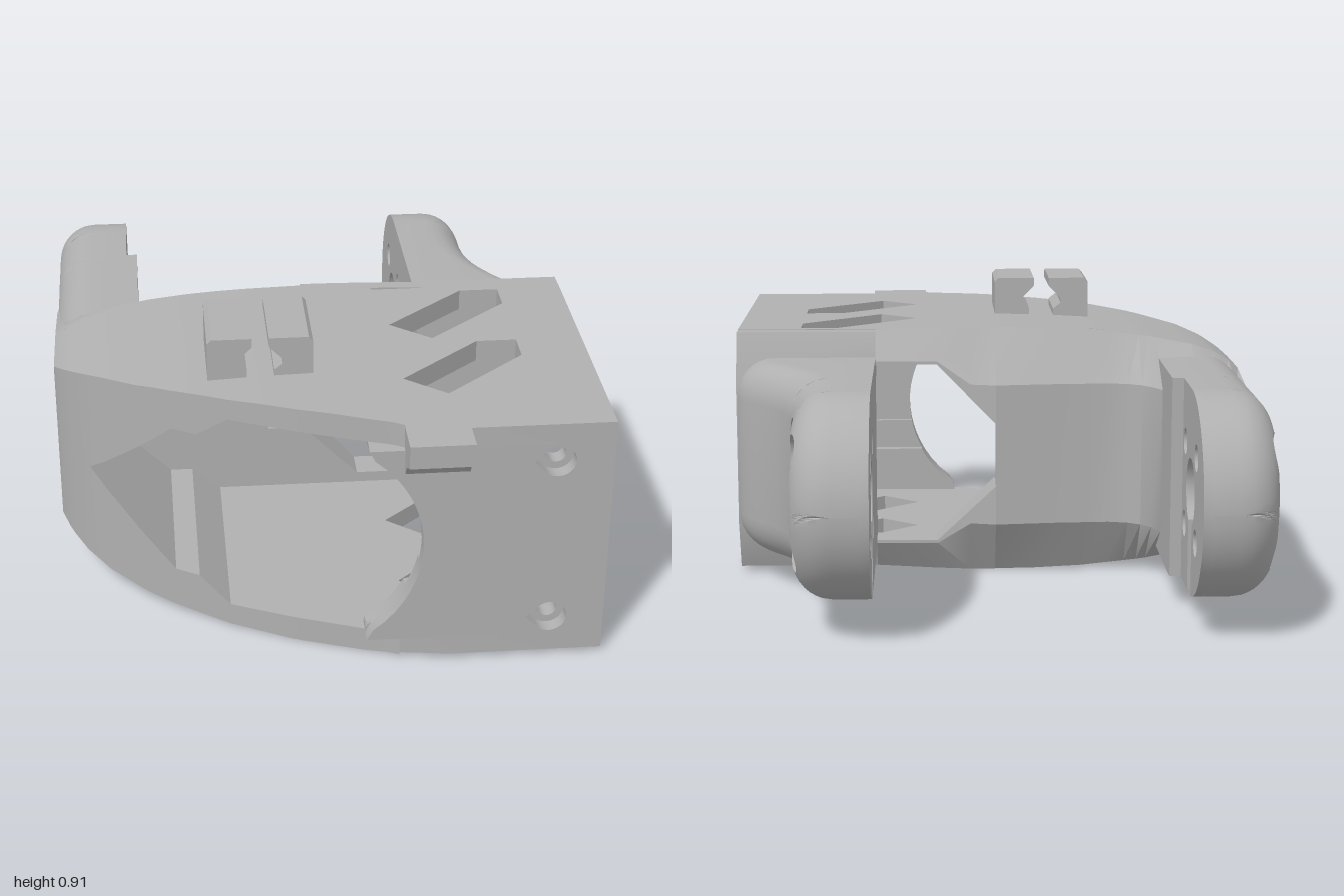
import * as THREE from 'three';
import { toCreasedNormals } from 'three/addons/utils/BufferGeometryUtils.js';

const V2 = (p) => new THREE.Vector2(p[0], p[1]);
const shapeOf = (pts, holes = []) => {
  const s = new THREE.Shape(pts.map(V2));
  holes.forEach((h) => s.holes.push(new THREE.Path(h.map(V2))));
  return s;
};
const extrude = (pts, depth, holes) =>
  new THREE.ExtrudeGeometry(shapeOf(pts, holes), { depth, bevelEnabled: false });

// Arc as a list of points
const arc = (cx, cy, r, a0, a1, n) => Array.from({ length: n + 1 }, (_, i) => {
  const a = a0 + (a1 - a0) * i / n;
  return [cx + r * Math.cos(a), cy + r * Math.sin(a)];
});

// Piecewise linear curve through [t, value] pairs
const curve = (pts) => (t) => {
  if (t <= pts[0][0]) return pts[0][1];
  for (let i = 1; i < pts.length; i++) {
    const [a, va] = pts[i - 1], [b, vb] = pts[i];
    if (t <= b) return va + (vb - va) * (t - a) / (b - a);
  }
  return pts[pts.length - 1][1];
};
const steps = (a, b, n) => Array.from({ length: n + 1 }, (_, i) => a + (b - a) * i / n);

// Skin over closed rings, with optional end caps triangulated from 2D sections
function skin(rings, caps) {
  const n = rings[0].length, idx = [];
  for (let i = 0; i + 1 < rings.length; i++) for (let j = 0; j < n; j++) {
    const k = (j + 1) % n, a = i * n + j, b = i * n + k, c = a + n, d = b + n;
    idx.push(a, b, d, a, d, c);
  }
  if (caps) caps.forEach((sec, e) => {
    const c = sec.map(V2), off = e ? (rings.length - 1) * n : 0;
    const ccw = THREE.ShapeUtils.area(c) > 0;
    // the triangulator follows the winding of the section itself
    THREE.ShapeUtils.triangulateShape(ccw ? c : c.slice().reverse(), []).forEach((t) => {
      let [p, q, r] = ccw ? t : t.map((v) => n - 1 - v).reverse();
      if (e === 0) [q, r] = [r, q];
      idx.push(off + p, off + q, off + r);
    });
  });
  const g = new THREE.BufferGeometry();
  g.setAttribute('position', new THREE.Float32BufferAttribute(rings.flat(2), 3));
  g.setIndex(idx);
  return g;
}
const loft = (ts, section, place) => {
  const secs = ts.map(section);
  return skin(secs.map((s, i) => s.map(([a, b]) => place(a, b, ts[i]))), [secs[0], secs[secs.length - 1]]);
};

// Make faces point outward, then smooth gentle edges only
function finish(geo) {
  const g = geo.index ? geo.toNonIndexed() : geo.clone();
  g.deleteAttribute('uv');
  g.deleteAttribute('normal');
  const p = g.attributes.position, v = [0, 1, 2].map(() => new THREE.Vector3());
  let volume = 0;
  for (let i = 0; i < p.count; i += 3) {
    v.forEach((q, k) => q.fromBufferAttribute(p, i + k));
    volume += v[0].dot(v[1].clone().cross(v[2]));
  }
  if (volume < 0) for (let i = 0; i < p.count; i += 3) {
    v.forEach((q, k) => q.fromBufferAttribute(p, i + k));
    p.setXYZ(i + 1, v[2].x, v[2].y, v[2].z);
    p.setXYZ(i + 2, v[1].x, v[1].y, v[1].z);
  }
  g.computeVertexNormals();
  return toCreasedNormals(g, 0.5);
}

export function createModel() {
  const root = new THREE.Group();
  root.name = 'bracket';
  const grey = new THREE.MeshStandardMaterial({ color: 0xb0b0b0, side: THREE.DoubleSide });
  grey.name = 'grey plastic';
  const add = (name, geo, parent = root) => {
    const m = new THREE.Mesh(finish(geo), grey);
    m.name = name;
    parent.add(m);
  };
  const CY = 0.405;
  const alongX = (y, z, x) => [x, y, z];

  // Body outline curves
  const top = curve([[-.8, .665], [-.77, .69], [-.72, .718], [-.65, .742], [-.5, .77], [-.35, .787], [-.2, .795], [0, .8], [.2, .797], [.4, .79], [.8, .788]]);
  const bottom = curve([[-.8, .14], [-.77, .115], [-.72, .09], [-.65, .065], [-.5, .036], [-.3, .015], [-.1, .005], [.1, .008], [.4, .025], [.8, .025]]);
  const front = curve([[-.8, .2], [-.77, .27], [-.72, .35], [-.65, .43], [-.55, .52], [-.45, .59], [-.3, .68], [-.1, .77], [.1, .845], [.17, .868], [.2, .885]]);
  const back = curve([[-.8, -.25], [-.535, -.25], [-.51, -.2], [-.48, -.16], [-.44, -.135], [-.38, -.12], [-.2, -.13], [-.02, -.15], [.18, -.1], [.36, -.1]]);
  const cavity = curve([[-.7, 0], [-.45, .245], [-.38, .245], [-.29, .32], [.2, .32]]);

  // Curved shell above and below the pointed cavity
  const shellX = [...steps(-.8, -.7, 8), ...steps(-.65, -.45, 6), -.42, -.38, -.335, ...steps(-.29, .2, 14)];
  add('upperShell', loft(shellX, (x) => [[CY + cavity(x), 0], [top(x), 0], [top(x), front(x)], [CY + cavity(x), front(x)]], alongX));
  add('lowerShell', loft(shellX, (x) => [[CY - cavity(x), 0], [bottom(x), 0], [bottom(x), front(x)], [CY - cavity(x), front(x)]], alongX));

  // Rear wall with the arrow-shaped recess
  const recess = curve([[-.21, 0], [-.13, .105], [-.02, .105]]);
  add('rearWall', loft([-.8, -.77, -.72, -.65, -.535, -.51, -.48, -.44, -.38, -.3, -.21, -.13, -.02], (x) => {
    const h = recess(x);
    return [[CY + h, 0], [top(x), 0], [top(x), -.03], [.63, back(x)], [.18, back(x)], [bottom(x), -.03],
      [bottom(x), 0], [CY - h, 0], [CY - h, -.08], [CY + h, -.08]];
  }, alongX));
  // Rear window borders
  const win = curve([[-.02, .1], [.165, .285], [.36, .285]]);
  [1, -1].forEach((s) => add('rearWindowBorder', loft([-.02, .06, .165, .25, .36], (x) => {
    const edge = s > 0 ? top(x) : bottom(x), h = win(x);
    return [[CY + s * h, 0], [edge, 0], [edge, -.04], [CY + s * Math.max(.225, h + .01), back(x)], [CY + s * h, back(x)]];
  }, alongX)));
  // Grooved rear wall beside the open end
  add('groovedRearWall', loft([.36, .8], () => [[.788, 0], [.788, -.05], [.63, -.11], [.18, -.11], [.025, -.05], [.025, 0],
    [.18, 0], [.18, -.05], [.3, -.05], [.3, -.09], [.51, -.09], [.51, -.05], [.64, -.05], [.64, 0]], alongX));

  // Slotted top and bottom plates
  const slots = [0, .35].map((d) => [[.23, .25 + d], [.48, .03 + d], [.6, .03 + d], [.6, .13 + d], [.35, .35 + d]]);
  [['topPlate', .725, .79], ['bottomPlate', .022, .085]].forEach(([name, y0, y1]) => {
    const g = extrude([[.2, 0], [.8, 0], [.8, .905], [.35, .905], [.2, .885]], y1 - y0, slots);
    add(name, g.rotateX(Math.PI / 2).translate(0, y1, 0));
  });

  // Front wall in layers: curved inner edge, stepped rail groove, teardrop screw holes
  const edgeX = curve(arc(-.03, 0, .36, 0, 1.3, 24).map(([x, y]) => [y, Math.max(x - .07, .1)]));
  const wallEdge = (a, b) => steps(a, b, 20).map((h) => [edgeX(Math.abs(h)), CY + h]);
  const tear = (y, r) => [...arc(.64, y, r, -2.35, 2.35, 18), [.64 - r * 1.42, y]];
  add('frontWallFace', extrude([...wallEdge(-.32, .32), [.8, .725], [.8, .085]], .045, [tear(.14, .05), tear(.67, .05)]).translate(0, 0, .86));
  [[.84, .02, .07], [.81, .03, .17]].forEach(([z, d, gap]) => [1, -1].forEach((s) => {
    add('frontWallRail', extrude([...wallEdge(s * gap, s * .32), [.8, CY + s * .32], [.8, CY + s * gap]], d,
      [tear(CY + s * .265, .028)]).translate(0, 0, z));
  }));

  // Front catch
  add('frontCatch', loft([.2, .385], () => [[.79, .86], [.79, 1], [.72, 1], [.705, .965], [.685, .935], [.655, .915], [.655, .86]], alongX));

  // Pair of cable clips on the roof
  [1, -1].forEach((s) => {
    const prof = [[.155, .78], [.155, .905], [.143, .918], [.025, .918], [.025, .89], [.065, .85], [.065, .835], [.04, .815], [.04, .78]];
    add('cableClip', extrude(prof.map(([x, y]) => [-.185 + s * x, y]), .27).translate(0, 0, .29));
  });

  // Rear arms: rounded end with four counterbored holes, rounded base, keyhole face plate
  const R = .305, CZ = -.695, ROUND = .12, ZS = -.47;
  function arm(name, side, inner, outer, zEnd) {
    const g = new THREE.Group();
    g.name = name;
    root.add(g);
    const seat = inner + .03, floor = outer(-1) - .1;
    const height = (y, z) => {
      const d = R - (z < CZ ? Math.hypot(y - CY, z - CZ) : Math.abs(y - CY));
      const e = Math.min(ROUND, Math.max(0, ROUND - d));
      return outer(z) - ROUND + Math.sqrt(ROUND * ROUND - e * e);
    };
    const holes = [];
    [-.56, -.815].forEach((hz) => [.28, .53].forEach((hy) => {
      holes.push(arc(hz, hy, .04, 0, Math.PI * 2, 24).slice(0, -1));
      const yr = hy < CY ? [CY - R, CY] : [CY, CY + R], zr = hz < CZ ? [CZ - R, CZ] : [CZ, ZS];
      const angles = steps(-Math.PI, Math.PI, 48).slice(0, -1);
      yr.forEach((y) => zr.forEach((z) => angles.push(Math.atan2(y - hy, z - hz))));
      angles.sort((a, b) => a - b);
      // distance from hole centre to the edge of its quarter of the arm end
      const reach = (a) => {
        const dz = Math.cos(a), dy = Math.sin(a);
        let t = Math.min(dz ? (zr[dz > 0 ? 1 : 0] - hz) / dz : 9, dy ? (yr[dy > 0 ? 1 : 0] - hy) / dy : 9);
        if (hz < CZ) {
          const b = dz * (hz - CZ) + dy * (hy - CY), c = (hz - CZ) ** 2 + (hy - CY) ** 2 - R * R;
          t = Math.min(t, -b + Math.sqrt(b * b - c));
        }
        return t;
      };
      const ring = (radius, w) => angles.map((a) => {
        const t = radius(a), z = hz + t * Math.cos(a), y = hy + t * Math.sin(a);
        return [side * (w ?? height(y, z)), y, z];
      });
      const small = () => .04, big = () => Math.min(.075);
      const surface = [0, .2, .4, .6, .75, .87, .95, 1].map((s) => ring((a) => .075 + s * (reach(a) - .075)));
      add('armEnd', skin([ring(small, seat), ring(small, floor), ring(big, floor), ...surface, ring(reach, seat), ring(small, seat)]), g);
    }));
    // Base blending into the body
    add('armBase', loft(steps(ZS, zEnd, 14), (z) => {
      const c = outer(z) - ROUND;
      return [[inner, CY - R], ...arc(c, CY - R + ROUND, ROUND, -Math.PI / 2, 0, 8),
        ...arc(c, CY + R - ROUND, ROUND, 0, Math.PI / 2, 8), [inner, CY + R]];
    }, (x, y, z) => [side * x, y, z]), g);
    // Inner face plate with a keyhole slot
    const face = extrude([[ZS, CY - R], [CZ + .04, CY - R], ...arc(CZ, CY, .1, -1.16, Math.PI + 1.16, 28),
      [CZ - .04, CY - R + .003], ...arc(CZ, CY, R, -1.75, -Math.PI * 1.5, 28), [ZS, CY + R]], .03, holes);
    add('armFacePlate', face.rotateY(-Math.PI / 2).translate(seat, 0, 0).scale(side, 1, 1), g);
    return g;
  }
  const flare = curve([[-.62, .59], [-.55, .595], [-.48, .607], [-.42, .625], [-.36, .65], [-.3, .685], [-.25, .72], [-.2, .76], [-.16, .785], [-.1, .8]]);
  arm('leftArm', 1, .36, flare, -.06);
  const rightArm = arm('rightArm', -1, .57, () => .8, .03);
  // Raised step on the inner side of the straight arm
  add('armStep', new THREE.BoxGeometry(.04, .61, .5).translate(-.555, CY, -.25), rightArm);

  return root;
}
